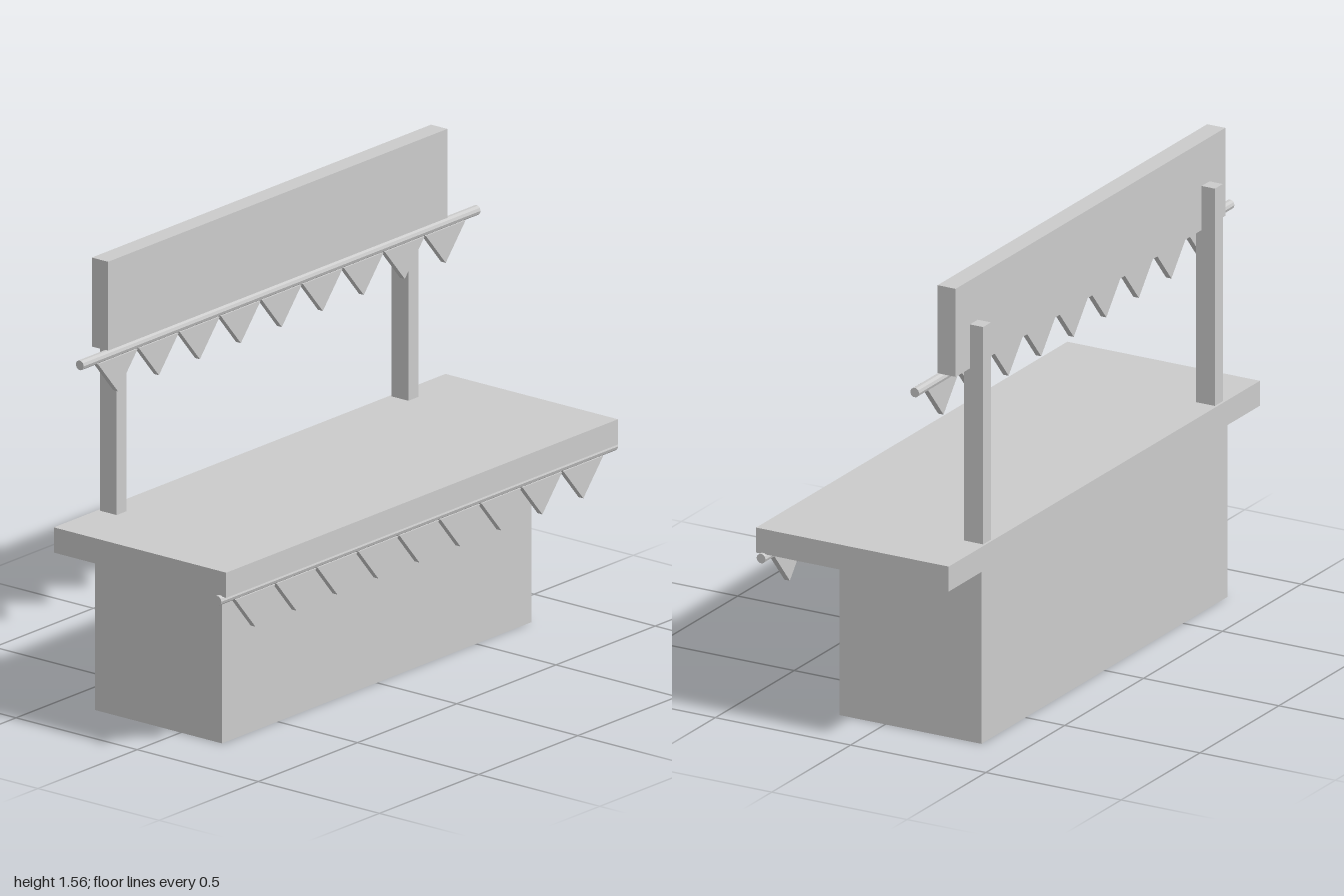
import * as THREE from 'three';

const grey = new THREE.MeshStandardMaterial({ color: 0xcccccc, flatShading: true });
const greyDouble = new THREE.MeshStandardMaterial({ color: 0xcccccc, flatShading: true, side: THREE.DoubleSide });

// Box given by its extents along each axis
function box(name, [x0, x1], [y0, y1], [z0, z1]) {
  const mesh = new THREE.Mesh(new THREE.BoxGeometry(x1 - x0, y1 - y0, z1 - z0), grey);
  mesh.position.set((x0 + x1) / 2, (y0 + y1) / 2, (z0 + z1) / 2);
  mesh.name = name;
  return mesh;
}

// Rod with a row of triangular pennants hanging below it
function bunting(name, rodY, rodZ, flagZ) {
  const group = new THREE.Group();
  group.name = name;

  const rod = new THREE.Mesh(new THREE.CylinderGeometry(0.0165, 0.0165, 2, 10).rotateZ(Math.PI / 2), grey);
  rod.position.set(0, rodY, rodZ);
  rod.name = 'rod';
  group.add(rod);

  const thickness = 0.02;
  const triangle = new THREE.Shape([
    new THREE.Vector2(-0.1, 0),
    new THREE.Vector2(0, -0.117),
    new THREE.Vector2(0.1, 0),
  ]);
  const flagGeometry = new THREE.ExtrudeGeometry(triangle, { depth: thickness, bevelEnabled: false });
  flagGeometry.translate(0, 0, -thickness / 2);
  for (let i = -4; i <= 4; i++) {
    const flag = new THREE.Mesh(flagGeometry, grey);
    flag.position.set(i * 0.2065, rodY - 0.013, flagZ);
    flag.name = 'pennant';
    group.add(flag);
  }
  return group;
}

export function createModel() {
  const model = new THREE.Group();
  model.name = 'marketStall';

  // Hollow base: four thin walls, open underneath
  const base = new THREE.Group();
  base.name = 'base';
  const [halfW, height, back, front] = [0.78, 0.585, -0.355, 0.17];
  const wall = (name, width, x, z, turn) => {
    const mesh = new THREE.Mesh(new THREE.PlaneGeometry(width, height), greyDouble);
    mesh.position.set(x, height / 2, z);
    mesh.rotation.y = turn;
    mesh.name = name;
    base.add(mesh);
  };
  wall('frontWall', halfW * 2, 0, front, 0);
  wall('backWall', halfW * 2, 0, back, Math.PI);
  for (const s of [-1, 1]) {
    wall(s > 0 ? 'leftWall' : 'rightWall', front - back, s * halfW, (front + back) / 2, s * Math.PI / 2);
  }
  model.add(base);

  // Counter top
  model.add(box('counter', [-0.987, 0.987], [0.585, 0.67], [-0.355, 0.357]));

  // Posts and sign board, both slightly off centre
  model.add(box('rightPost', [-0.765, -0.715], [0.67, 1.41], [-0.347, -0.277]));
  model.add(box('leftPost', [0.705, 0.755], [0.67, 1.41], [-0.347, -0.277]));
  model.add(box('signBoard', [-0.865, 0.845], [1.26, 1.56], [-0.298, -0.231]));

  // Bunting under the sign and under the counter edge
  model.add(bunting('upperBunting', 1.245, -0.237, -0.232));
  model.add(bunting('lowerBunting', 0.573, 0.331, 0.336));

  return model;
}
